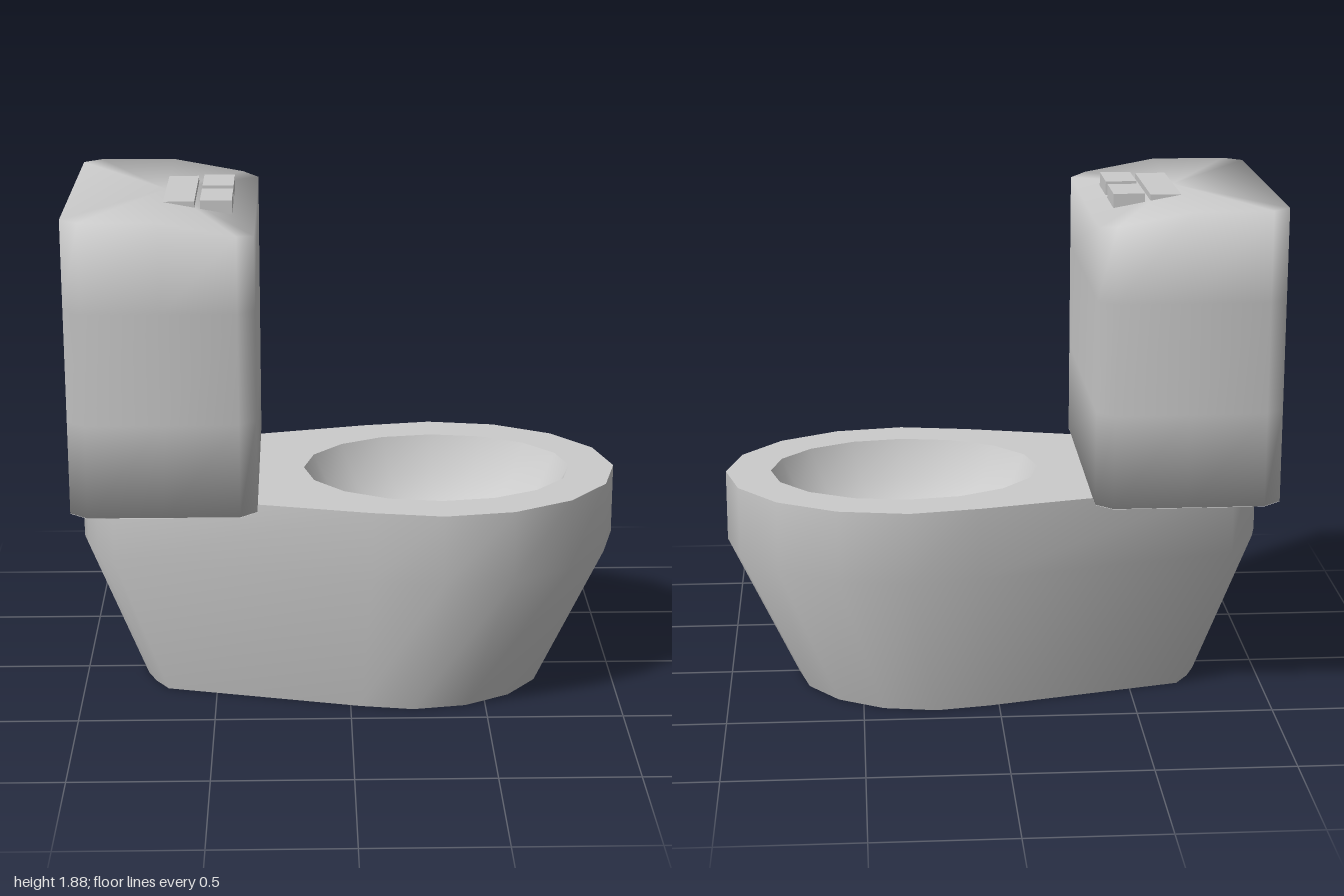
import * as THREE from 'three';
import { toCreasedNormals } from 'three/addons/utils/BufferGeometryUtils.js';

// Double-sided because the pedestal is an open shell
const material = new THREE.MeshStandardMaterial({ color: 0xcccccc, side: THREE.DoubleSide });

// Skins a stack of rings (each a list of [x, y, z], counterclockwise from above);
// first and last are optional cap centres.
function loft(rings, first, last) {
  const n = rings[0].length;
  const positions = rings.flat(2);
  const index = [];
  for (let r = 0; r < rings.length - 1; r++) {
    for (let i = 0; i < n; i++) {
      const a = r * n + i, b = r * n + (i + 1) % n;
      index.push(a, b, b + n, a, b + n, a + n);
    }
  }
  const cap = (centre, start, up) => {
    const c = positions.length / 3;
    positions.push(...centre);
    for (let i = 0; i < n; i++) {
      const a = start + i, b = start + (i + 1) % n;
      index.push(c, up ? a : b, up ? b : a);
    }
  };
  if (first) cap(first, 0, false);
  if (last) cap(last, (rings.length - 1) * n, true);
  const geometry = new THREE.BufferGeometry();
  geometry.setAttribute('position', new THREE.Float32BufferAttribute(positions, 3));
  geometry.setIndex(index);
  geometry.computeVertexNormals();
  return geometry;
}

// Completes a half outline (z <= 0 side, front to back) with its mirror image
const mirrorOutline = (half) =>
  [...half, ...half.filter(([, z]) => z !== 0).reverse().map(([x, z]) => [x, -z])];

const toVectors = (points) => points.map(([x, z]) => new THREE.Vector2(x, -z));

// Height of the tank lid: level at the back, falling toward the bowl
const lidHeight = (x) => 1.873 - Math.max(0, x + 0.66) * 0.185;

export function createModel() {
  const group = new THREE.Group();
  const add = (name, geometry) => {
    const mesh = new THREE.Mesh(geometry, material);
    mesh.name = name;
    group.add(mesh);
  };

  // Egg-shaped outline: round front, tapering to a narrow rounded back
  const outline = mirrorOutline([
    [1, 0], [0.946, -0.212], [0.802, -0.392], [0.585, -0.513], [0.33, -0.555],
    [0.075, -0.513], [-0.87, -0.285], [-0.935, -0.19], [-0.978, -0.09], [-1, 0],
  ]);
  const rimY = 0.805;
  const ring = (y, sx, sz, dx) => outline.map(([x, z]) => [x * sx + dx, y, z * sz]);

  // Pedestal: upright band above a tapered foot, hollow and open underneath
  const pedestal = loft([ring(0, 0.763, 0.765, -0.02), ring(0.54, 1, 1, 0), ring(rimY, 1, 1, 0)]);
  add('pedestal', toCreasedNormals(pedestal, 1.2));

  // Flat rim with an oval opening
  const ellipse = (scale) => Array.from({ length: 16 }, (_, i) => {
    const a = (i / 16) * Math.PI * 2;
    return [0.332 + 0.5 * scale * Math.cos(a), -0.39 * scale * Math.sin(a)];
  });
  const rimShape = new THREE.Shape(toVectors(outline));
  rimShape.holes.push(new THREE.Path(toVectors(ellipse(1))));
  add('rim', new THREE.ShapeGeometry(rimShape).rotateX(-Math.PI / 2).translate(0, rimY, 0));

  // Shallow rounded hollow of the bowl: [scale, depth]
  const basinRings = [[1, 0], [0.85, 0.14], [0.6, 0.23], [0.3, 0.28]].map(([scale, depth]) =>
    ellipse(scale).map(([x, z]) => [x, rimY - depth, z]));
  add('basin', loft(basinRings, null, [0.332, rimY - 0.295, 0]));

  // Tank: chamfered corners, softly shaded, lid sloping to the front
  const tankOutline = mirrorOutline([
    [-0.335, -0.5], [-0.395, -0.555], [-0.66, -0.555], [-0.935, -0.555], [-1, -0.5],
  ]);
  const tankRings = [0.808, 1.15, 1.55].map((y) => tankOutline.map(([x, z]) => [x, y, z]));
  tankRings.push(tankOutline.map(([x, z]) => [x, lidHeight(x), z]));
  add('tank', loft(tankRings, [-0.66, 0.808, 0], [-0.66, lidHeight(-0.66), 0]));

  // Flat panel closing the underside of the tank
  const panel = new THREE.ShapeGeometry(new THREE.Shape(toVectors(tankOutline)));
  add('tankUnderside', panel.rotateX(Math.PI / 2).translate(0, 0.8065, 0));

  // Blocks on the sloping lid with level tops
  const lidBlock = (name, x0, x1, z0, z1, top) => {
    const shape = new THREE.Shape(
      [[x0, lidHeight(x0)], [x1, lidHeight(x1)], [x1, top], [x0, top]]
        .map(([x, y]) => new THREE.Vector2(x, y)),
    );
    const geometry = new THREE.ExtrudeGeometry(shape, { depth: z1 - z0, bevelEnabled: false });
    add(name, geometry.translate(0, 0, z0));
  };
  lidBlock('buttonPlate', -0.66, -0.55, -0.225, 0.225, 1.8745);
  lidBlock('flushButtonLeft', -0.53, -0.417, 0.027, 0.227, 1.879);
  lidBlock('flushButtonRight', -0.53, -0.417, -0.227, -0.027, 1.879);

  return group;
}
